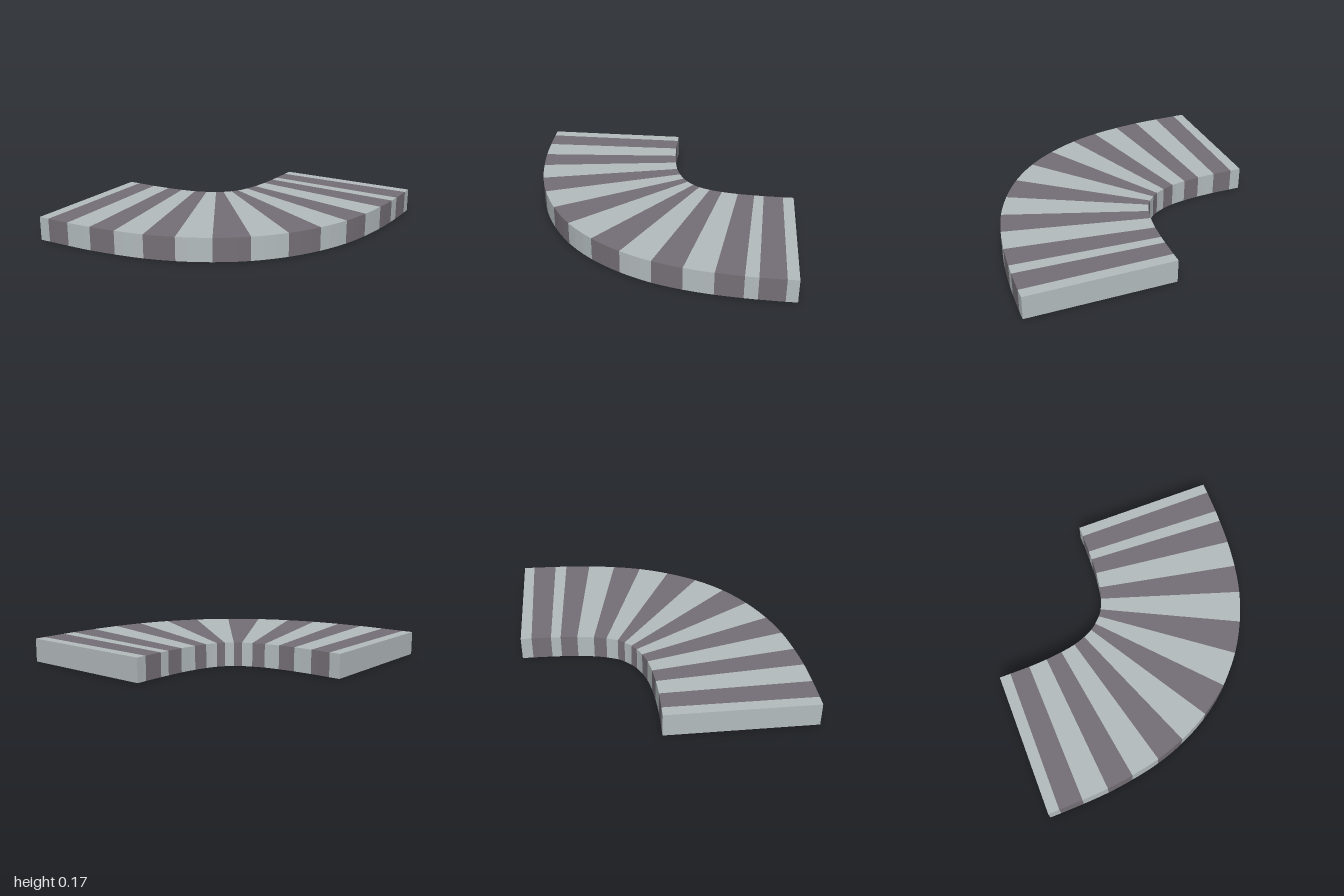
import * as THREE from 'three';

const HEIGHT = 0.17;
const STEPS = 3; // facets per stripe

// Stripe boundaries along each rim, as [x, z]
const OUTER = [
  [-1, 0.985], [-0.92, 0.985], [-0.75, 0.982], [-0.56, 0.973], [-0.37, 0.95], [-0.16, 0.91],
  [0.05, 0.842], [0.272, 0.733], [0.478, 0.585], [0.657, 0.392], [0.79, 0.18], [0.885, -0.04],
  [0.94, -0.25], [0.973, -0.455], [0.99, -0.645], [0.995, -0.735], [1, -0.91], [1, -0.988],
];
const INNER = [
  [-1, -0.06], [-0.92, -0.06], [-0.775, -0.06], [-0.64, -0.067], [-0.52, -0.08], [-0.412, -0.1],
  [-0.325, -0.13], [-0.258, -0.163], [-0.212, -0.198], [-0.167, -0.243], [-0.134, -0.29], [-0.102, -0.37],
  [-0.078, -0.46], [-0.06, -0.58], [-0.051, -0.7], [-0.048, -0.77], [-0.045, -0.91], [-0.045, -0.988],
];

const rail = (points) => new THREE.CatmullRomCurve3(points.map(([x, z]) => new THREE.Vector3(x, 0, z)));

export function createModel() {
  const group = new THREE.Group();
  group.name = 'stripedCurve';
  const light = new THREE.MeshStandardMaterial({ color: 0xb4bcbe, flatShading: true });
  const dark = new THREE.MeshStandardMaterial({ color: 0x757077, flatShading: true });
  const outer = rail(OUTER);
  const inner = rail(INNER);
  const stripes = OUTER.length - 1;

  // Rectangular cross-section at parameter t: outer bottom, outer top, inner top, inner bottom
  const section = (t) => {
    const o = outer.getPoint(t);
    const n = inner.getPoint(t);
    return [[o.x, 0, o.z], [o.x, HEIGHT, o.z], [n.x, HEIGHT, n.z], [n.x, 0, n.z]];
  };

  for (let s = 0; s < stripes; s++) {
    const positions = [];
    const quad = (a, b, c, d) => positions.push(...a, ...b, ...c, ...a, ...c, ...d);
    const at = (j) => section((s + j / STEPS) / stripes);

    // Outer wall, top, inner wall and underside
    for (let j = 0; j < STEPS; j++) {
      const p = at(j);
      const q = at(j + 1);
      for (let k = 0; k < 4; k++) {
        const m = (k + 1) % 4;
        quad(p[k], q[k], q[m], p[m]);
      }
    }

    // Flat ends of the curve
    if (s === 0) quad(...at(0));
    if (s === stripes - 1) quad(...at(STEPS).reverse());

    const geometry = new THREE.BufferGeometry();
    geometry.setAttribute('position', new THREE.Float32BufferAttribute(positions, 3));
    geometry.computeVertexNormals();
    const mesh = new THREE.Mesh(geometry, s % 2 ? dark : light);
    mesh.name = s % 2 ? 'darkStripe' : 'lightStripe';
    group.add(mesh);
  }
  return group;
}
